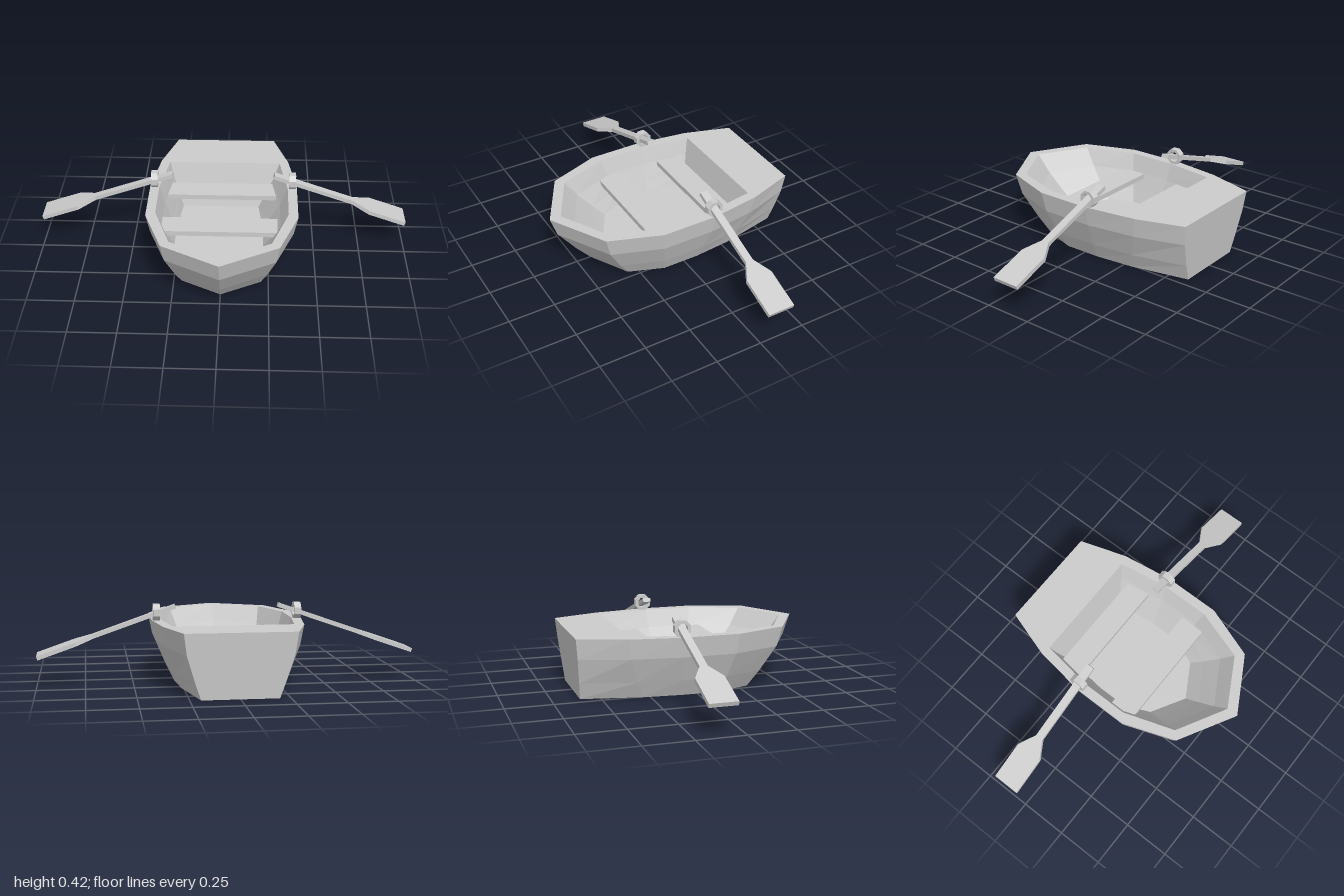
import * as THREE from 'three';
import { mergeGeometries } from 'three/addons/utils/BufferGeometryUtils.js';

const grey = new THREE.MeshStandardMaterial({ color: 0xcccccc, flatShading: true });

function mesh(name, geometry) {
  const m = new THREE.Mesh(geometry, grey);
  m.name = name;
  return m;
}

// Half outline [x, z] from bow to stern, mirrored into a closed ring.
function mirrorRing(half) {
  const left = half.slice(1).reverse().map(([x, z]) => [-x, z]);
  return [...half, ...left];
}

// Rings between a top and a bottom outline; each level is [height, blend towards the bottom].
function makeRings(top, bottom, levels, shift) {
  const yTop = levels[0][0], yBottom = levels[levels.length - 1][0];
  return levels.map(([y, t]) => {
    const half = top.map(([x, z], i) => [x + (bottom[i][0] - x) * t, z + (bottom[i][1] - z) * t]);
    // the stern panel stays flat
    const n = half.length - 1;
    const k = (yTop - y) / (yTop - yBottom);
    half[n][1] = top[n][1] + (bottom[n][1] - top[n][1]) * k;
    return mirrorRing(half).map(([x, z]) => new THREE.Vector3(x + shift * t, y, z));
  });
}

function loft(rings) {
  const pos = [];
  for (let r = 0; r < rings.length - 1; r++) {
    const a = rings[r], b = rings[r + 1];
    a.forEach((p, i) => {
      const j = (i + 1) % a.length;
      for (const v of [p, a[j], b[j], p, b[j], b[i]]) pos.push(v.x, v.y, v.z);
    });
  }
  const g = new THREE.BufferGeometry();
  g.setAttribute('position', new THREE.Float32BufferAttribute(pos, 3));
  g.computeVertexNormals();
  return g;
}

// Flat panel filling a ring, facing up (1) or down (-1), with an optional opening.
function panel(ring, facing, hole) {
  const flat = (r) => r.map((p) => new THREE.Vector2(p.x, -facing * p.z));
  const shape = new THREE.Shape(flat(ring));
  if (hole) shape.holes.push(new THREE.Path(flat(hole)));
  const g = new THREE.ShapeGeometry(shape).toNonIndexed();
  g.deleteAttribute('uv');
  return g.rotateX(-facing * Math.PI / 2).translate(0, ring[0].y, 0);
}

function makeHull() {
  const outer = makeRings(
    [[0, 0.637], [0.3, 0.468], [0.4, 0.19], [0.4, -0.11], [0.36, -0.385], [0.28, -0.637]],
    [[0, 0.42], [0.21, 0.305], [0.28, 0.12], [0.28, -0.08], [0.26, -0.29], [0.195, -0.605]],
    [[0.333, 0], [0.225, 0.17], [0.09, 0.64], [0, 1]], 0);
  const inner = makeRings(
    [[0, 0.575], [0.26, 0.43], [0.35, 0.16], [0.35, -0.1], [0.31, -0.372]],
    [[0, 0.33], [0.18, 0.225], [0.24, 0.09], [0.24, -0.08], [0.215, -0.31]],
    [[0.333, 0], [0.24, 0.31], [0.15, 0.69], [0.08, 1]], -0.02);
  return mesh('hull', mergeGeometries([
    loft([...outer].reverse()),
    loft(inner),
    panel(outer[0], 1, inner[0]),
    panel(outer[3], -1),
    panel(inner[3], 1),
  ]));
}

// Plank seat with its own half width at the back and front edges.
function makeBench(name, zBack, zFront, halfBack, halfFront) {
  const s = new THREE.Shape([
    new THREE.Vector2(-halfFront, -zFront), new THREE.Vector2(halfFront, -zFront),
    new THREE.Vector2(halfBack, -zBack), new THREE.Vector2(-halfBack, -zBack),
  ]);
  const g = new THREE.ExtrudeGeometry(s, { depth: 0.027, bevelEnabled: false });
  return mesh(name, g.rotateX(-Math.PI / 2).translate(-0.018, 0.213, 0));
}

// Oar drawn flat along +x, then tilted down towards the blade.
function makeOar() {
  const half = [[0, 0.021], [0.46, 0.021], [0.555, 0.073], [0.764, 0.073]];
  const outline = [...half.map(([x, w]) => [x, -w]), ...half.reverse()];
  const shape = new THREE.Shape(outline.map(([x, w]) => new THREE.Vector2(x, w)));
  const g = new THREE.ExtrudeGeometry(shape, { depth: 0.022, bevelEnabled: false });
  g.translate(0, 0, -0.011).rotateX(-Math.PI / 2).rotateZ(-0.335);
  return mesh('oar', g.translate(0.274, 0.405, -0.114));
}

// Eight-sided ring standing on the rim, its axis across the boat.
function makeOarlock() {
  const octagon = (r) => Array.from({ length: 8 }, (_, i) => {
    const a = (i + 0.5) * Math.PI / 4;
    return new THREE.Vector2(r * Math.cos(a), r * Math.sin(a));
  });
  const shape = new THREE.Shape(octagon(0.046));
  shape.holes.push(new THREE.Path(octagon(0.029)));
  const g = new THREE.ExtrudeGeometry(shape, { depth: 0.036, bevelEnabled: false });
  return mesh('oarlock', g.rotateY(Math.PI / 2).translate(0.357, 0.375, -0.114));
}

export function createModel() {
  const boat = new THREE.Group();
  boat.name = 'rowingBoat';
  boat.add(makeHull());
  boat.add(makeBench('frontBench', 0.06, 0.197, 0.312, 0.312));
  boat.add(makeBench('rearBench', -0.3, -0.17, 0.288, 0.308));

  // oar and oarlock on each side
  for (const side of ['left', 'right']) {
    const set = new THREE.Group();
    set.name = side + 'OarSet';
    set.add(makeOar(), makeOarlock());
    if (side === 'right') set.scale.x = -1;
    boat.add(set);
  }
  return boat;
}
